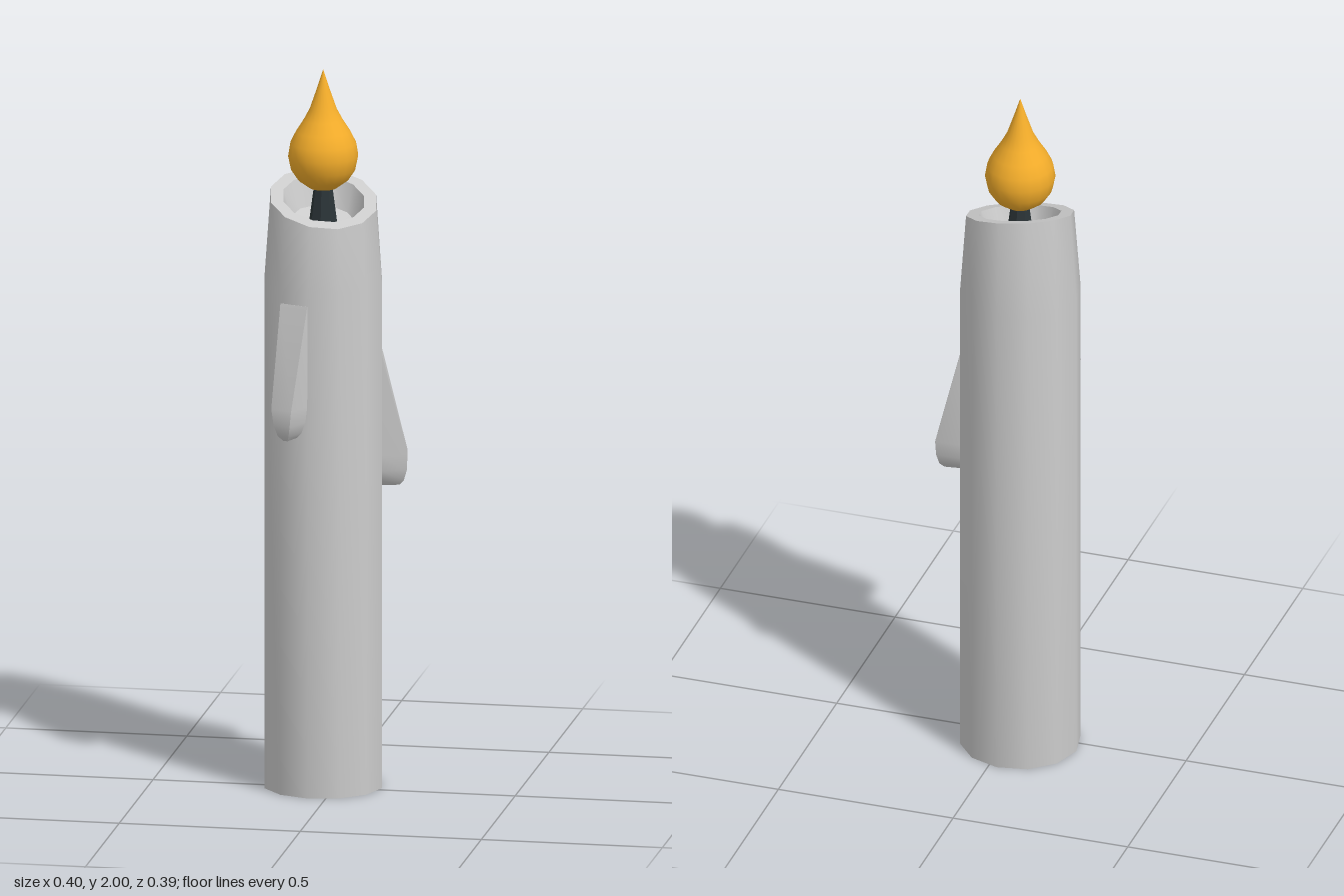
import * as THREE from 'three';
import { toCreasedNormals } from 'three/addons/utils/BufferGeometryUtils.js';

const CX = -0.036, CZ = -0.032; // candle axis
const RAD = Math.PI / 180;
const TURN = 25.7 * RAD;        // rotation of the twelve-sided body

const wax = new THREE.MeshStandardMaterial({ color: 0xcccccc });
const wickMat = new THREE.MeshStandardMaterial({ color: 0x2b3437 });
const flameMat = new THREE.MeshStandardMaterial({ color: 0xf5ae2b });

function lathe(points, segments, phi = 0) {
  return new THREE.LatheGeometry(points.map(([r, y]) => new THREE.Vector2(r, y)), segments, phi);
}

// Twelve-sided shaft, tapered near the top, with a slanted rim around a hollow
function bodyGeometry() {
  const geo = lathe([
    [0, 0], [0.165, 0], [0.165, 1.41], [0.148, 1.64],
    [0.113, 1.64], [0.09, 1.57], [0, 1.56],
  ], 12, TURN);
  const p = geo.attributes.position;
  for (let i = 0; i < p.count; i++) {
    const x = p.getX(i), y = p.getY(i), z = p.getZ(i);
    if (y > 1.5) p.setXYZ(i, x + 0.002, y - 0.14 * x - 0.31 * z, z + 0.005);
  }
  return toCreasedNormals(geo, 40 * RAD);
}

// Wax drip: rows of [height, half width at wall, half width outside, depth]
function dripGeometry() {
  const rows = [
    [0, 0.042, 0.042, 0.001],
    [-0.28, 0.042, 0.031, 0.07],
    [-0.325, 0.036, 0.025, 0.068],
    [-0.355, 0.024, 0.017, 0.06],
    [-0.37, 0.01, 0.007, 0.048],
  ];
  const pos = [], index = [];
  for (const [y, a, b, d] of rows) {
    pos.push(-a, y, -0.002, -b, y, d, b, y, d, a, y, -0.002);
  }
  for (let r = 0; r < rows.length - 1; r++) {
    for (let k = 0; k < 3; k++) {
      const i = r * 4 + k, j = i + 4;
      index.push(i, j, j + 1, i, j + 1, i + 1);
    }
  }
  const e = (rows.length - 1) * 4;
  index.push(0, 1, 2, 0, 2, 3, e, e + 2, e + 1, e, e + 3, e + 2);
  const geo = new THREE.BufferGeometry();
  geo.setAttribute('position', new THREE.Float32BufferAttribute(pos, 3));
  geo.setIndex(index);
  return toCreasedNormals(geo, 35 * RAD);
}

export function createModel() {
  const candle = new THREE.Group();
  candle.name = 'candle';
  const add = (name, geo, mat) => {
    const mesh = new THREE.Mesh(geo, mat);
    mesh.name = name;
    mesh.position.set(CX, 0, CZ);
    candle.add(mesh);
    return mesh;
  };

  add('waxBody', bodyGeometry(), wax);

  // Wick, wider where it meets the wax
  const wick = new THREE.CylinderGeometry(0.022, 0.042, 0.15, 8);
  wick.translate(0, 1.625, 0);
  add('wick', toCreasedNormals(wick, 30 * RAD), wickMat);

  // Teardrop flame
  add('flame', lathe([
    [0, 1.662], [0.037, 1.67], [0.068, 1.692], [0.088, 1.722], [0.096, 1.76],
    [0.09, 1.795], [0.074, 1.827], [0.053, 1.86], [0.037, 1.89], [0.018, 1.945], [0, 2],
  ], 20), flameMat);

  // Drips, each centred on one facet of the shaft
  const drip = dripGeometry();
  for (const [name, angle, top] of [['frontDrip', 109.3, 1.375], ['leftDrip', -10.7, 1.21]]) {
    const mesh = add(name, drip, wax);
    const a = angle * RAD;
    mesh.position.set(CX + 0.159 * Math.cos(a), top, CZ + 0.159 * Math.sin(a));
    mesh.rotation.y = Math.PI / 2 - a;
  }
  return candle;
}
